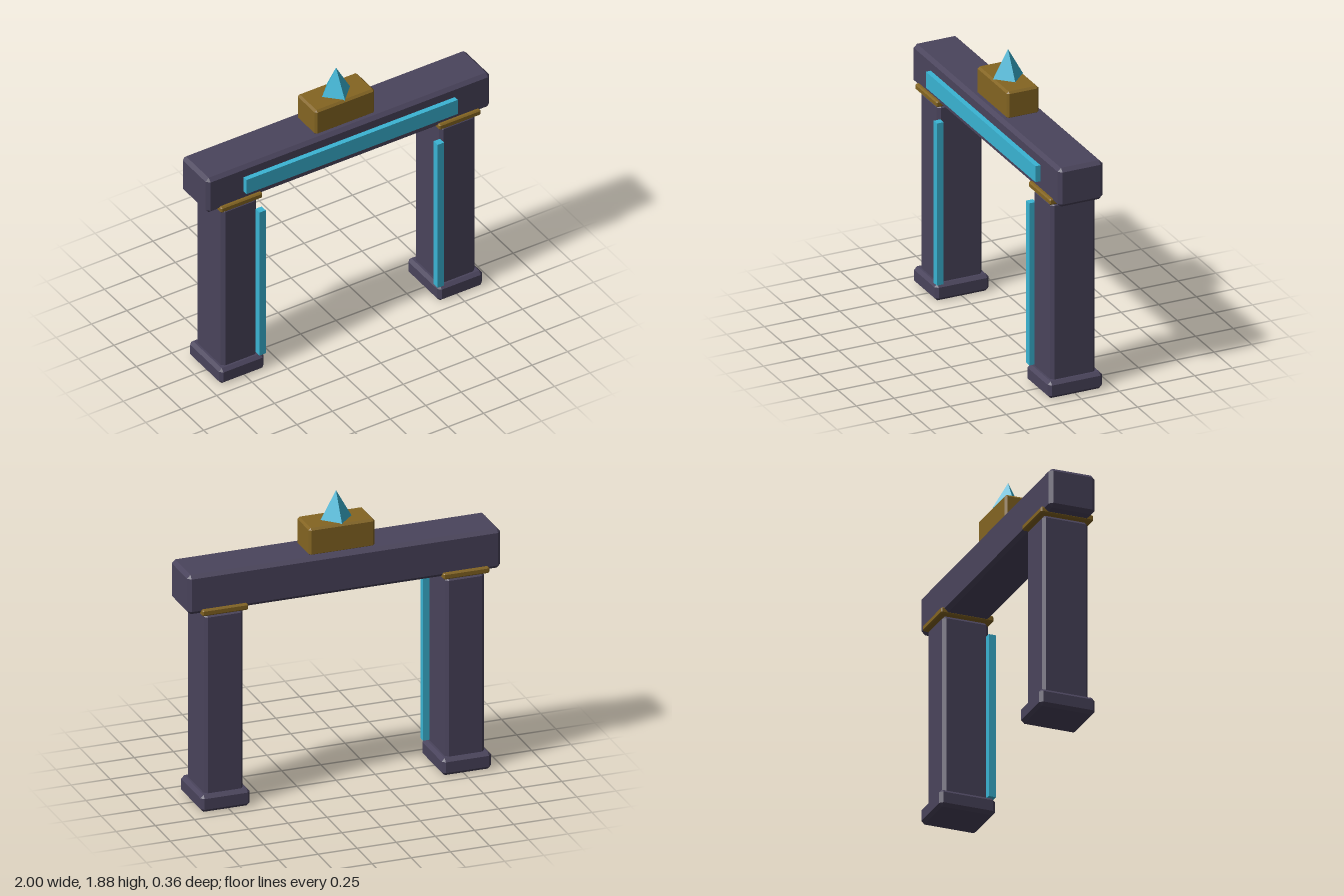
import * as THREE from 'three';
import { ConvexGeometry } from 'three/addons/geometries/ConvexGeometry.js';

const stone = new THREE.MeshStandardMaterial({ color: 0x4a445c });
stone.name = 'dark stone';
const gold = new THREE.MeshStandardMaterial({ color: 0x846522 });
gold.name = 'old gold';
const glow = new THREE.MeshStandardMaterial({ color: 0x3ab4d4 });
glow.name = 'cyan crystal';

// Box with chamfered edges and corners
function chamferBox(w, h, d, c) {
  const points = [];
  for (const x of [-1, 1]) for (const y of [-1, 1]) for (const z of [-1, 1]) {
    for (let axis = 0; axis < 3; axis++) {
      const inset = [c, c, c];
      inset[axis] = 0;
      points.push(new THREE.Vector3(
        x * (w / 2 - inset[0]), y * (h / 2 - inset[1]), z * (d / 2 - inset[2])));
    }
  }
  return new ConvexGeometry(points);
}

export function createModel() {
  const model = new THREE.Group();
  model.name = 'archway';

  const add = (name, geometry, material, x, y, z = 0) => {
    const mesh = new THREE.Mesh(geometry, material);
    mesh.name = name;
    mesh.position.set(x, y, z);
    model.add(mesh);
  };

  // Pillars with foot, capital and glowing inner strip
  for (const [side, s] of [['left', 1], ['right', -1]]) {
    add(side + 'Foot', chamferBox(0.315, 0.11, 0.36, 0.02), stone, s * 0.77, 0.055);
    add(side + 'Pillar', chamferBox(0.25, 1.22, 0.296, 0.02), stone, s * 0.77, 0.66);
    add(side + 'Capital', chamferBox(0.294, 0.04, 0.34, 0.008), gold, s * 0.77, 1.29);
    add(side + 'GlowStrip', new THREE.BoxGeometry(0.045, 1.065, 0.045), glow, s * 0.629, 0.643, 0.153);
  }

  // Lintel and its front panel
  add('lintel', chamferBox(2, 0.255, 0.296, 0.022), stone, 0, 1.4075);
  add('frontPanel', new THREE.BoxGeometry(1.49, 0.105, 0.045), glow, 0, 1.407, 0.1585);

  // Pedestal and crystal
  add('pedestal', chamferBox(0.42, 0.18, 0.21, 0.013), gold, 0, 1.615);
  const crystal = new THREE.ConeGeometry(0.1, 0.18, 4).toNonIndexed();
  crystal.computeVertexNormals();
  add('crystal', crystal, glow, 0, 1.793);

  return model;
}
